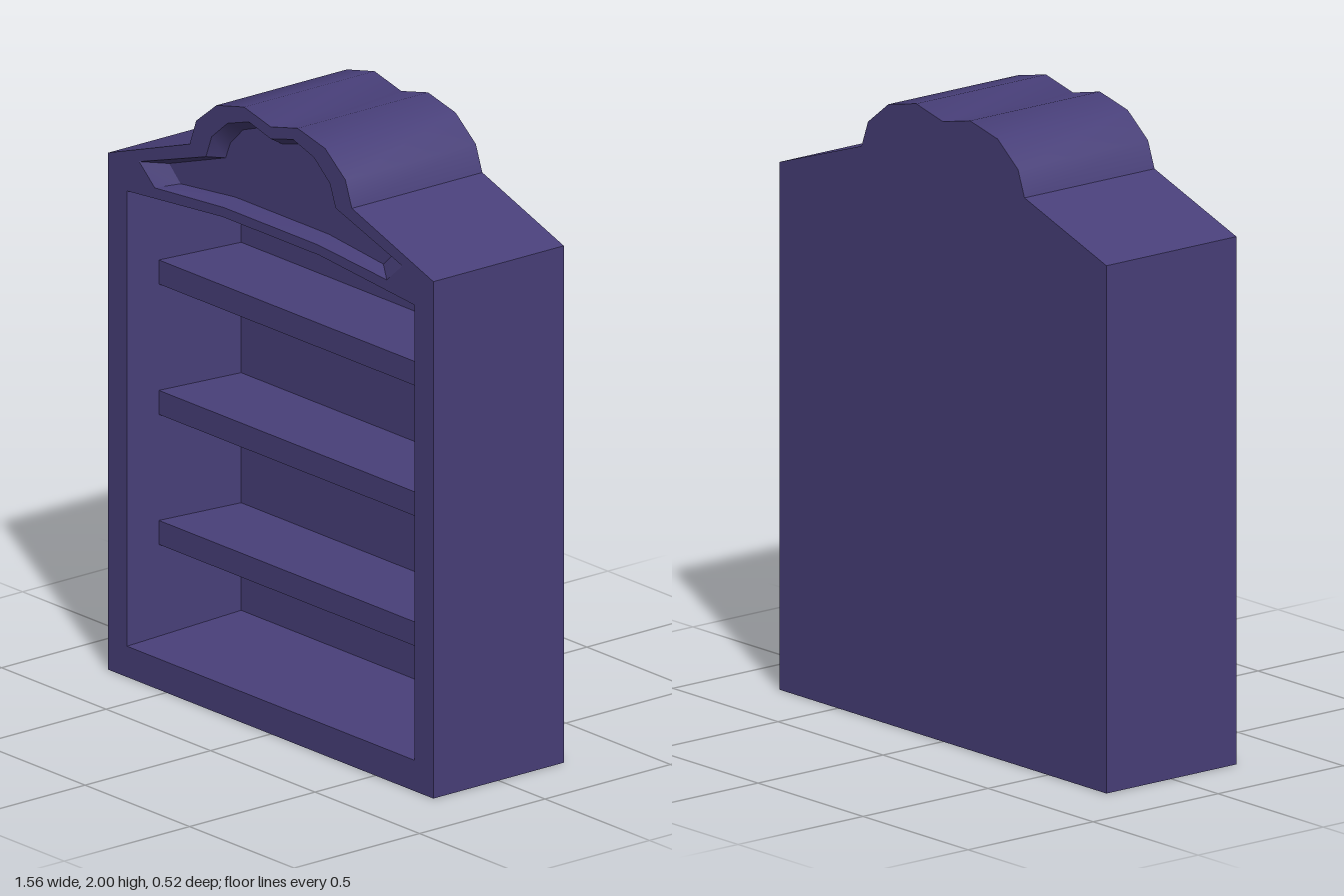
import * as THREE from 'three';
import { toCreasedNormals } from 'three/addons/utils/BufferGeometryUtils.js';

const FRONT = 0.26, BACK = -0.26, BAY_BACK = -0.134, CREST_BACK = 0.215, SHELF_FRONT = 0.15;

// Closed counter-clockwise outline mirrored about x = 0, from its right half (bottom to top).
function mirrored(half) {
  const left = half.filter(([x]) => x > 0).map(([x, y]) => [-x, y]).reverse();
  return [...half, ...left];
}

// Walls joining a front outline to a back outline; inward turns them to face the hollow.
function walls(front, back, zFront, zBack, inward = false) {
  const pos = [];
  front.forEach((a, i) => {
    const j = (i + 1) % front.length;
    const A = [...a, zFront], B = [...front[j], zFront];
    const C = [...back[j], zBack], D = [...back[i], zBack];
    const tris = inward ? [A, B, C, A, C, D] : [A, C, B, A, D, C];
    tris.forEach((p) => pos.push(...p));
  });
  const g = new THREE.BufferGeometry();
  g.setAttribute('position', new THREE.Float32BufferAttribute(pos, 3));
  return toCreasedNormals(g, 0.75);
}

// Flat panel with optional openings, facing +z.
function panel(outline, z, holes = []) {
  const points = (loop) => loop.map(([x, y]) => new THREE.Vector2(x, y));
  const shape = new THREE.Shape(points(outline));
  holes.forEach((h) => shape.holes.push(new THREE.Path(points(h))));
  return new THREE.ShapeGeometry(shape).translate(0, 0, z);
}

export function createModel() {
  const model = new THREE.Group();
  model.name = 'bookcase';
  const wood = new THREE.MeshStandardMaterial({ color: 0x483f79 });
  wood.name = 'purple paint';
  const add = (name, geometry) => {
    const mesh = new THREE.Mesh(geometry, wood);
    mesh.name = name;
    model.add(mesh);
  };

  // Outlines
  const body = mirrored([[0.778, 0], [0.778, 1.677], [0.388, 1.81], [0.357, 1.894],
    [0.26, 1.97], [0.128, 2], [0, 1.97]]);
  const bayFront = mirrored([[0.688, 0.1], [0.688, 1.577], [0.232, 1.616]]);
  const bayBack = mirrored([[0.615, 0.148], [0.615, 1.528], [0.222, 1.563]]);
  const crestFront = mirrored([[0.225, 1.648], [0.555, 1.623], [0.63, 1.688], [0.31, 1.79],
    [0.283, 1.862], [0.207, 1.926], [0.106, 1.958], [0, 1.931]]);
  const crestBack = mirrored([[0.225, 1.672], [0.485, 1.645], [0.54, 1.696], [0.27, 1.787],
    [0.248, 1.84], [0.187, 1.9], [0.1, 1.931], [0, 1.905]]);

  // Cabinet shell
  add('frontFrame', panel(body, FRONT, [bayFront, crestFront]));
  add('outerWalls', walls(body, body, FRONT, BACK));
  add('rearPanel', panel(body, 0).rotateY(Math.PI).translate(0, 0, BACK));

  // Shelf bay
  add('bayWalls', walls(bayFront, bayBack, FRONT, BAY_BACK, true));
  add('bayBackPanel', panel(bayBack, BAY_BACK));

  // Shallow recess in the crest
  add('crestWalls', walls(crestFront, crestBack, FRONT, CREST_BACK, true));
  add('crestPanel', panel(crestBack, CREST_BACK));

  // Shelves, narrowing with the bay towards the back
  for (const y of [0.45, 0.872, 1.295]) {
    const rect = (x, h) => mirrored([[x, y - h], [x, y + h]]);
    const front = rect(0.668, 0.039);
    add('shelf', walls(front, rect(0.615, 0.047), SHELF_FRONT, BAY_BACK));
    add('shelfEdge', panel(front, SHELF_FRONT));
  }
  return model;
}
